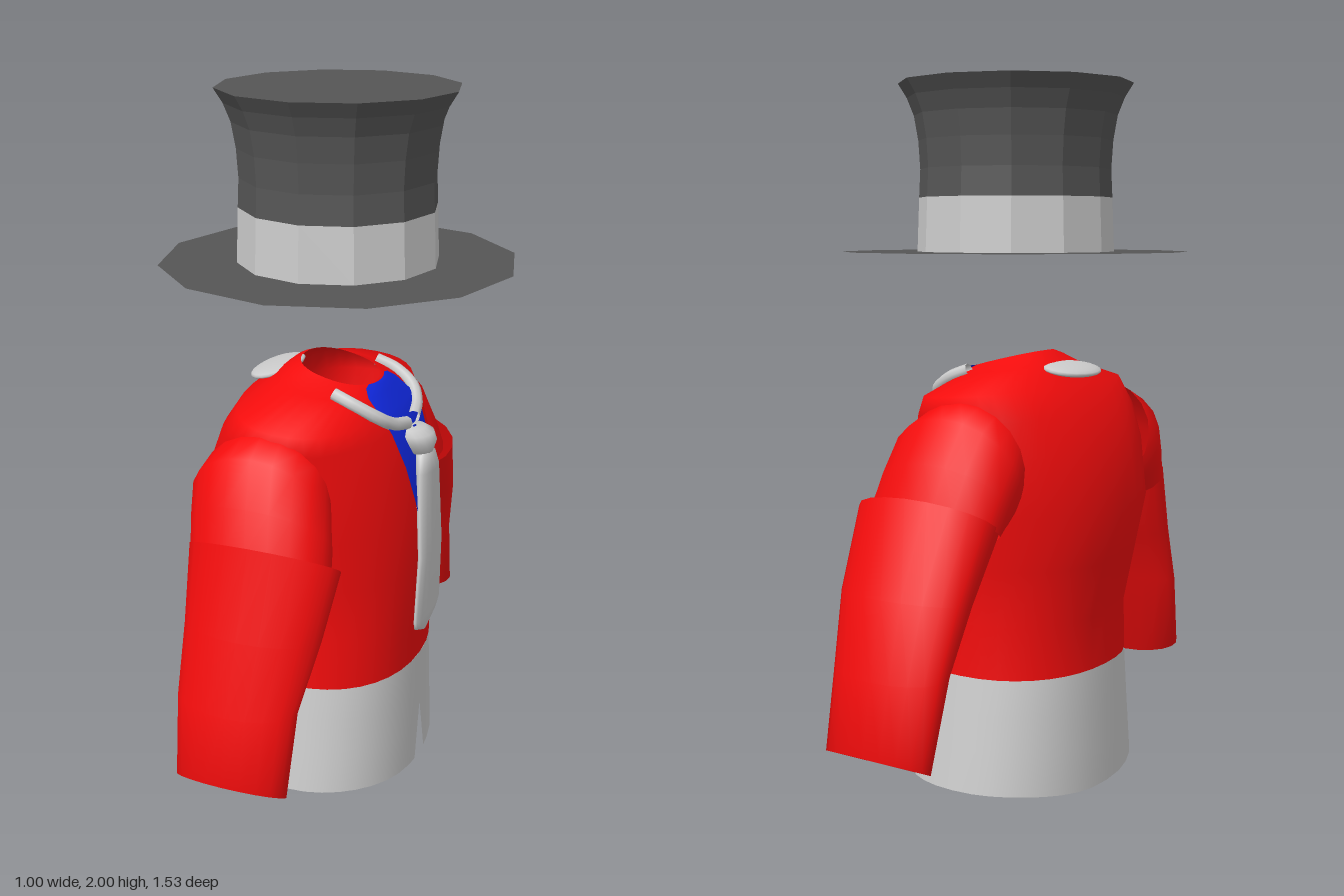
import * as THREE from 'three';

const RED = 0xf20c0c, BLUE = 0x1028e0, DARK = 0x555555, GREY = 0xcccccc;
const MID = 0.03; // z of the body's middle plane; the chest faces +x

function add(parent, name, geometry, color, flatShading = false) {
  const mat = new THREE.MeshStandardMaterial({ color, flatShading, side: THREE.DoubleSide });
  const mesh = new THREE.Mesh(geometry, mat);
  mesh.name = name;
  parent.add(mesh);
  return mesh;
}

// Skin a list of equally long point rows
function loft(rows, closed = true) {
  const n = rows[0].length, pos = [], idx = [];
  rows.forEach(r => r.forEach(p => pos.push(p[0], p[1], p[2])));
  for (let i = 0; i < rows.length - 1; i++) {
    for (let j = 0; j < (closed ? n : n - 1); j++) {
      const a = i * n + j, b = i * n + (j + 1) % n, c = a + n, d = b + n;
      idx.push(a, c, b, b, c, d);
    }
  }
  const g = new THREE.BufferGeometry();
  g.setAttribute('position', new THREE.Float32BufferAttribute(pos, 3));
  g.setIndex(idx);
  g.computeVertexNormals();
  return g;
}

const P = 0.88;
const pw = v => Math.sign(v) * Math.abs(v) ** P;
const circle = n => Array.from({ length: n }, (_, i) => i / n * Math.PI * 2);

// Body sections: y, back x, front x, half width, forward tilt
const BODY = [
  [0, -0.31, 0.27, 0.375, 0], [0.35, -0.302, 0.265, 0.325, 0],
  [0.5, -0.30, 0.27, 0.32, 0], [0.66, -0.335, 0.28, 0.328, 0],
  [0.82, -0.36, 0.275, 0.37, 0], [0.98, -0.335, 0.245, 0.38, 0],
  [1.08, -0.29, 0.21, 0.395, 0], [1.14, -0.235, 0.18, 0.39, 0.08],
  [1.19, -0.155, 0.145, 0.2, 0.15], [1.212, -0.125, 0.13, 0.14, 0.2],
  [1.222, -0.1, 0.12, 0.115, 0.25],
];

function section(y) {
  let i = 0;
  while (i < BODY.length - 2 && BODY[i + 1][0] < y) i++;
  const t = (y - BODY[i][0]) / (BODY[i + 1][0] - BODY[i][0]);
  return BODY[i].map((v, k) => THREE.MathUtils.lerp(v, BODY[i + 1][k], t));
}

// Point on the body at height y; angle 0 is the chest
function bodyPoint(y, a) {
  const [, xb, xf, zh, tilt] = section(y);
  const x = (xb + xf) / 2 + pw(Math.cos(a)) * (xf - xb) / 2;
  return [x, y - tilt * x, MID + pw(Math.sin(a)) * zh];
}

function makeHat() {
  const hat = new THREE.Group();
  hat.name = 'hat';
  hat.position.z = 0.02;
  const lathe = pts => new THREE.LatheGeometry(pts.map(p => new THREE.Vector2(...p)), 12);
  add(hat, 'hatBand', lathe([[0.283, 1.527], [0.277, 1.68]]), GREY, true);
  add(hat, 'hatCrown', lathe([[0.277, 1.68], [0.273, 1.76], [0.278, 1.84],
    [0.29, 1.91], [0.31, 1.96], [0.335, 2]]), DARK, true);
  const top = add(hat, 'hatTop', new THREE.CircleGeometry(0.335, 12), DARK, true);
  top.rotation.x = -Math.PI / 2;
  top.position.y = 2;
  const brim = add(hat, 'hatBrim', new THREE.RingGeometry(0.283, 0.5, 12), DARK, true);
  brim.rotation.x = -Math.PI / 2;
  brim.position.y = 1.527;
  return hat;
}

// Sleeve sections: outer [z, y], inner [z, y], back x, front x
const UPPER = [
  [0.385, 1.13, 0.33, 0.80, -0.25, 0.125], [0.465, 1.095, 0.335, 0.78, -0.262, 0.145],
  [0.528, 0.98, 0.34, 0.77, -0.25, 0.16], [0.57, 0.87, 0.37, 0.75, -0.235, 0.17],
];
const LOWER = [
  [0.578, 0.895, 0.37, 0.755, -0.235, 0.2], [0.67, 0.65, 0.455, 0.62, -0.225, 0.17],
  [0.727, 0.45, 0.56, 0.47, -0.215, 0.135], [0.764, 0.26, 0.64, 0.2, -0.2, 0.125],
  [0.70, 0.235, 0.69, 0.235, -0.045, -0.035],
];

function sleeve(rows, side) {
  return loft(rows.map(([zo, yo, zi, yi, xb, xf]) => circle(20).map(a => {
    const c = Math.cos(a) / 2, s = Math.sin(a) / 2;
    const y = (yo + yi) / 2 + c * (yo - yi);
    const z = (zo + zi) / 2 + c * (zo - zi);
    const shift = MID * THREE.MathUtils.smoothstep((yo + yi) / 2, 0.6, 0.8);
    return [(xb + xf) / 2 + s * (xf - xb), y, side * z + shift];
  })));
}

function makeTie() {
  const tie = new THREE.Group();
  tie.name = 'tie';
  // sections: y, back x, front x, half width
  const body = rows => loft(rows.map(([y, xb, xf, w]) => circle(16).map(a =>
    [(xb + xf) / 2 + Math.cos(a) * (xf - xb) / 2, y, MID + Math.sin(a) * w])));
  add(tie, 'tieKnot', body([[1.07, 0.23, 0.24, 0.01], [1.068, 0.2, 0.265, 0.045],
    [1.055, 0.185, 0.29, 0.063], [1.03, 0.185, 0.3, 0.055], [1, 0.21, 0.29, 0.042],
    [0.985, 0.25, 0.26, 0.01]]), GREY);
  add(tie, 'tieBlade', body([[1.01, 0.265, 0.275, 0.02], [0.995, 0.245, 0.295, 0.045],
    [0.95, 0.25, 0.302, 0.068], [0.7, 0.27, 0.308, 0.092], [0.5, 0.268, 0.298, 0.107],
    [0.47, 0.265, 0.292, 0.09], [0.432, 0.27, 0.28, 0.01]]), GREY);
  return tie;
}

export function createModel() {
  const model = new THREE.Group();
  model.name = 'hatAndJacket';
  model.add(makeHat());

  // Jacket body, open at the neck and waist
  const ring = circle(36);
  add(model, 'jacketBody', loft(BODY.slice(1).map(r => ring.map(a => bodyPoint(r[0], a)))), RED);

  // Flared hem with a narrow notch at the front
  const hemAngles = [...ring, 0.08, Math.PI * 2 - 0.08].sort((a, b) => a - b);
  const hemRows = [0, 0.35, 0.7, 1].map(t => hemAngles.map(a => {
    const bottom = a === 0 ? 0.18 : 0.03 * (1 - Math.cos(a) ** 4);
    return bodyPoint(THREE.MathUtils.lerp(bottom, 0.35, t), a);
  }));
  add(model, 'jacketHem', loft(hemRows), GREY);

  // Shirt front showing in the V of the jacket: y, half width
  const shirtRows = [[0.78, 0.06], [0.88, 0.085], [0.98, 0.105], [1.08, 0.123],
    [1.14, 0.125], [1.19, 0.11], [1.212, 0.085], [1.222, 0.06]];
  add(model, 'shirtFront', loft(shirtRows.map(([y, w]) => {
    const half = Math.asin((w / section(y)[3]) ** (1 / P));
    return Array.from({ length: 13 }, (_, i) => {
      const p = bodyPoint(y, (i / 6 - 1) * half);
      return [p[0] + 0.01, p[1] + 0.002, p[2]];
    });
  }), false), BLUE);

  // Collar line over the body: y, angle
  const collarLine = [[1.2, 1.3], [1.185, 0.85], [1.15, 0.38], [1.11, 0.21], [1.085, 0.05]];
  for (const side of [1, -1]) {
    const label = side > 0 ? 'left' : 'right';
    add(model, label + 'UpperSleeve', sleeve(UPPER, side), RED);
    add(model, label + 'LowerSleeve', sleeve(LOWER, side), RED);

    // Collar band running from the neck down to the knot
    const curve = new THREE.CatmullRomCurve3(collarLine.map(([y, a]) => {
      const p = bodyPoint(y, side * a);
      return new THREE.Vector3(p[0] + 0.014, p[1] + 0.002, p[2]);
    }));
    add(model, label + 'Collar', new THREE.TubeGeometry(curve, 16, 0.019, 8), GREY);
  }

  // Collar flap behind the neck
  const flap = add(model, 'backCollar', new THREE.SphereGeometry(1, 20, 10), GREY);
  flap.scale.set(0.07, 0.016, 0.12);
  flap.rotation.z = 0.2;
  flap.position.set(-0.185, 1.197, MID);

  model.add(makeTie());
  return model;
}
